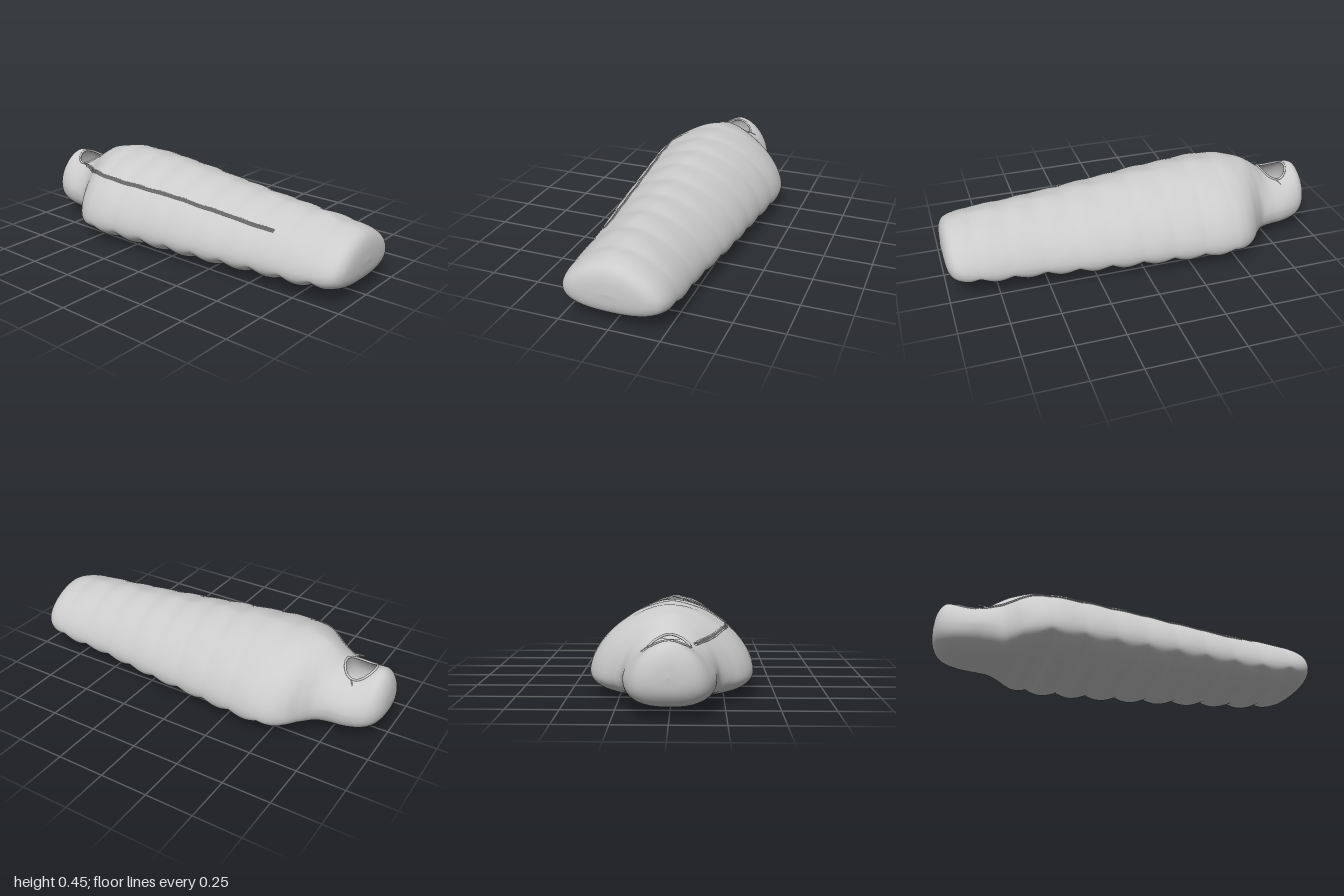
import * as THREE from 'three';

// Cross-sections from head to foot: x, half width, bottom, top, height of widest point
const STATIONS = [
  [-1, 0, 0.2, 0.2, 0.2],
  [-0.993, 0.075, 0.14, 0.265, 0.19],
  [-0.975, 0.125, 0.1, 0.315, 0.18],
  [-0.945, 0.16, 0.07, 0.345, 0.17],
  [-0.9, 0.185, 0.052, 0.343, 0.16],
  [-0.83, 0.205, 0.04, 0.33, 0.16],
  [-0.755, 0.212, 0.035, 0.345, 0.16],
  [-0.69, 0.228, 0.033, 0.39, 0.15],
  [-0.64, 0.275, 0.03, 0.418, 0.14],
  [-0.59, 0.335, 0.025, 0.433, 0.13],
  [-0.53, 0.375, 0.014, 0.445, 0.13],
  [-0.45, 0.395, 0.005, 0.45, 0.13],
  [-0.3, 0.385, 0, 0.445, 0.13],
  [-0.15, 0.37, 0, 0.434, 0.13],
  [0, 0.355, 0.002, 0.42, 0.13],
  [0.15, 0.342, 0.005, 0.402, 0.13],
  [0.3, 0.325, 0.01, 0.388, 0.13],
  [0.45, 0.305, 0.016, 0.375, 0.13],
  [0.6, 0.288, 0.022, 0.364, 0.13],
  [0.75, 0.28, 0.03, 0.352, 0.13],
  [0.87, 0.27, 0.043, 0.337, 0.14],
  [0.94, 0.25, 0.058, 0.32, 0.15],
  [0.975, 0.215, 0.078, 0.295, 0.16],
  [0.993, 0.15, 0.115, 0.25, 0.17],
  [1, 0, 0.18, 0.18, 0.18],
];
const LAST = STATIONS.length - 1;
const TOP_POWER = 1.7, BOTTOM_POWER = 2.5;
const HOLE = { s: 5, t: Math.PI / 2, rs: 1.05, rt: 0.53 }; // face opening, in surface coordinates

const spline = new THREE.CubicInterpolant(STATIONS.map((_, i) => i), STATIONS.flat(), 5);
const stationAt = (s) => Array.from(spline.evaluate(THREE.MathUtils.clamp(s, 0, LAST)));

// Point on the bag: s runs head to foot, t runs around (0 = front edge, PI/2 = crown)
function surface(s, t) {
  const [x, w, bottom, top, mid] = stationAt(s);
  const c = Math.cos(t), q = Math.sin(t);
  const n = q >= 0 ? TOP_POWER : BOTTOM_POWER;
  const z = w * Math.sign(c) * Math.abs(c) ** (2 / n);
  const lift = Math.abs(q) ** (2 / n);
  let y = q >= 0 ? mid + (top - mid) * lift : mid - (mid - bottom) * lift;

  // quilted baffles: deep scallops underneath, faint ripples on top
  const fade = THREE.MathUtils.smoothstep(x, -0.66, -0.5) * (1 - THREE.MathUtils.smoothstep(x, 0.84, 0.95));
  const cusp = 1 - Math.abs(Math.sin((Math.PI * (x + 0.3)) / 0.163));
  y += q < 0 ? 0.022 * fade * cusp * Math.min(1, -q * 2) : -0.004 * fade * cusp * q;
  // soft fabric wrinkles
  const wrinkle = 0.0025 * Math.sin(x * 31 + t * 4) * Math.sin(t * 7 - x * 9);
  if (q > 0) y += wrinkle * q * fade;
  return new THREE.Vector3(x, y, z * (1 - 0.008 * fade * cusp));
}

function shellGeometry() {
  const rows = LAST * 12, cols = 88;
  const positions = [], index = [], inside = [];
  for (let i = 0; i <= rows; i++) {
    for (let j = 0; j < cols; j++) {
      let s = (i / rows) * LAST, t = (j / cols) * Math.PI * 2;
      const ds = (s - HOLE.s) / HOLE.rs, dt = (t - HOLE.t) / HOLE.rt;
      const r = Math.hypot(ds, dt);
      inside.push(r < 1);
      // pull points within the opening out to its edge
      if (r < 1 && r > 0) {
        s = HOLE.s + (ds / r) * HOLE.rs;
        t = HOLE.t + (dt / r) * HOLE.rt;
      }
      positions.push(...surface(s, t).toArray());
    }
  }
  for (let i = 0; i < rows; i++) {
    for (let j = 0; j < cols; j++) {
      const k = (j + 1) % cols;
      const a = i * cols + j, b = a + cols, c = (i + 1) * cols + k, d = i * cols + k;
      if ([a, b, c, d].every((v) => inside[v])) continue;
      index.push(a, b, c, a, c, d);
    }
  }
  const geometry = new THREE.BufferGeometry();
  geometry.setAttribute('position', new THREE.Float32BufferAttribute(positions, 3));
  geometry.setIndex(index);
  geometry.computeVertexNormals();
  return geometry;
}

// Points of the zip line, following the front upper side
function zipPath(offset) {
  const zAt = new THREE.CubicInterpolant(
    [-0.8, -0.7, -0.6, -0.5, -0.4, 0, 0.62], [0.09, 0.145, 0.215, 0.255, 0.262, 0.233, 0.195], 1);
  const points = [];
  for (let s = 6; s <= 18.15; s += 0.2) {
    const [x, w] = stationAt(s);
    const z = zAt.evaluate(x)[0] + offset;
    const p = surface(s, Math.acos((z / w) ** (TOP_POWER / 2)));
    points.push(p);
  }
  return new THREE.CatmullRomCurve3(points);
}

export function createModel() {
  const model = new THREE.Group();
  model.name = 'sleepingBag';
  const fabric = new THREE.MeshStandardMaterial({ color: 0xcccccc, side: THREE.DoubleSide });
  const add = (name, geometry, parent = model) => {
    const mesh = new THREE.Mesh(geometry, fabric);
    mesh.name = name;
    parent.add(mesh);
    return mesh;
  };

  add('quiltedShell', shellGeometry());

  // rolled hem around the face opening
  const rim = [];
  for (let i = 0; i < 40; i++) {
    const a = (i / 40) * Math.PI * 2;
    rim.push(surface(HOLE.s + HOLE.rs * Math.cos(a), HOLE.t + HOLE.rt * Math.sin(a)));
  }
  add('hoodHem', new THREE.TubeGeometry(new THREE.CatmullRomCurve3(rim, true), 80, 0.006, 8, true));

  // zip: two tapes with a sunken coil between them
  const zip = new THREE.Group();
  zip.name = 'zip';
  model.add(zip);
  for (const side of [-1, 1]) {
    add('zipTape', new THREE.TubeGeometry(zipPath(side * 0.005), 140, 0.004, 6), zip);
  }
  add('zipCoil', new THREE.TubeGeometry(zipPath(0), 140, 0.003, 6), zip);

  // slider and pull tab at the hood end of the zip
  const start = zipPath(0).getPoint(0);
  add('zipSlider', new THREE.BoxGeometry(0.024, 0.01, 0.016), zip).position.copy(start);
  const pull = add('zipPull', new THREE.BoxGeometry(0.035, 0.004, 0.008), zip);
  pull.position.set(start.x - 0.022, start.y + 0.008, start.z);

  // drawcord end lying behind the opening
  const cord = new THREE.CatmullRomCurve3([
    surface(5.2, HOLE.t + HOLE.rt), surface(5.05, HOLE.t + HOLE.rt + 0.08), surface(4.9, HOLE.t + HOLE.rt + 0.18),
  ]);
  add('drawcord', new THREE.TubeGeometry(cord, 12, 0.003, 6));

  return model;
}
